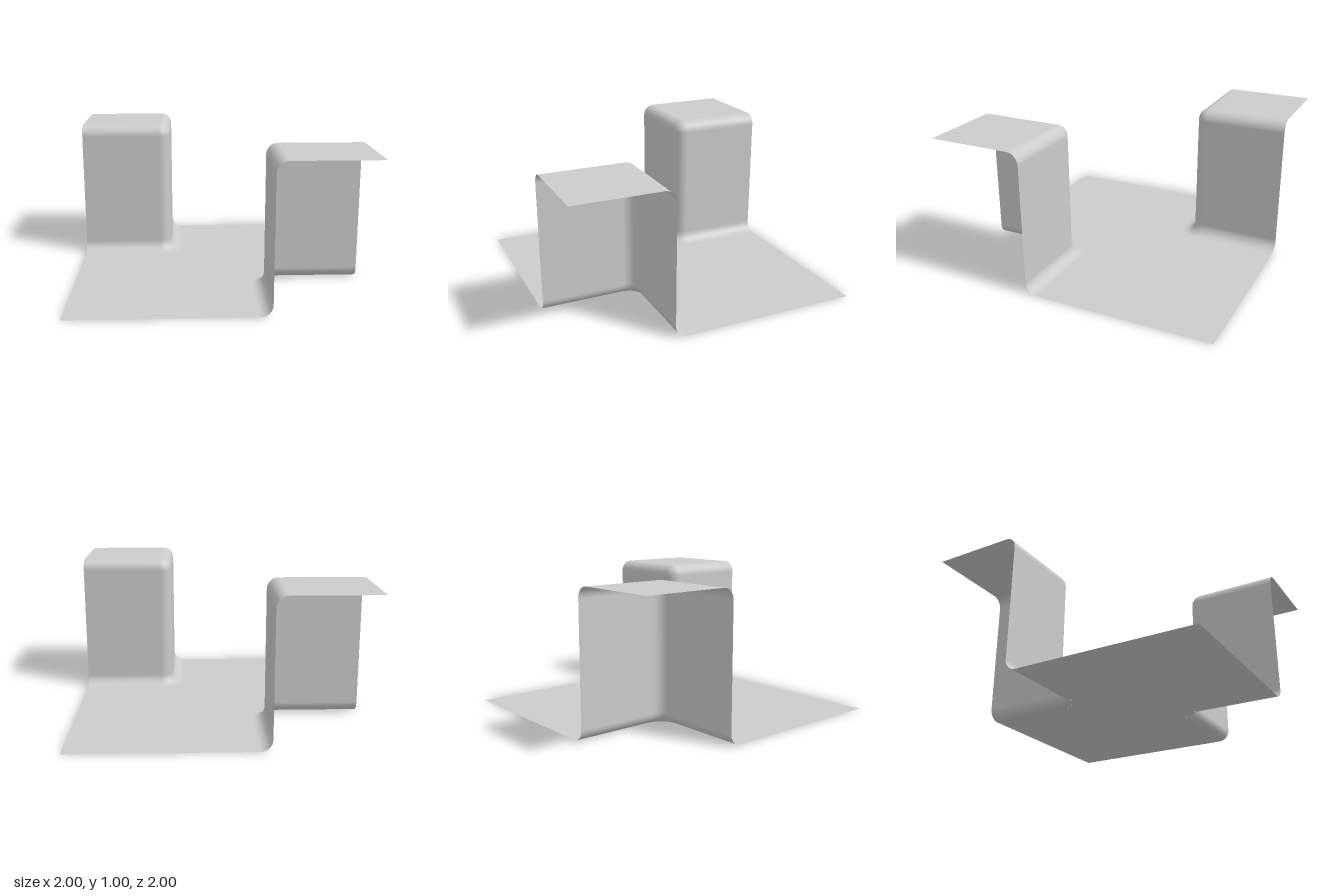
import * as THREE from 'three';

const HALF = 1;            // half width of the tile
const WALL = 1 / 3;        // distance of the walls from the centre lines
const R = 0.08;            // rounding of every edge
const C = WALL + R;        // centre of the rounded vertical corner
const FOOT = WALL - R;     // where the bottom fillet meets the floor
const HEIGHT = 1;
const STEPS = 8;

const material = new THREE.MeshStandardMaterial({ color: 0xcccccc, side: THREE.DoubleSide });

// Wall section from the top edge down to the floor: offset d, height y, normal (nd, ny)
function wallProfile() {
  const points = [];
  for (let i = 0; i <= STEPS; i++) {
    const a = (i / STEPS) * Math.PI / 2;
    points.push({ d: R * Math.sin(a), y: HEIGHT - R + R * Math.cos(a), nd: Math.sin(a), ny: Math.cos(a) });
  }
  for (let i = 0; i <= STEPS; i++) {
    const a = (i / STEPS) * Math.PI / 2;
    points.push({ d: 2 * R - R * Math.cos(a), y: R - R * Math.sin(a), nd: Math.cos(a), ny: Math.sin(a) });
  }
  return points;
}

// Sweep the wall section along one side, around the corner and along the other side
function wallGeometry() {
  const stations = [{ x: -C, z: -HALF, a: 0 }];
  for (let i = 0; i <= STEPS; i++) stations.push({ x: -C, z: -C, a: (i / STEPS) * Math.PI / 2 });
  stations.push({ x: -HALF, z: -C, a: Math.PI / 2 });

  const profile = wallProfile();
  const n = profile.length;
  const position = [], normal = [], index = [];
  stations.forEach((s, i) => {
    const cos = Math.cos(s.a), sin = Math.sin(s.a);
    profile.forEach((p, j) => {
      position.push(s.x + p.d * cos, p.y, s.z + p.d * sin);
      normal.push(p.nd * cos, p.ny, p.nd * sin);
      if (i === stations.length - 1 || j === n - 1) return;
      const a = i * n + j, b = a + n;
      const pole = j === 0 && i > 0 && i < stations.length - 2;
      if (!pole) index.push(a, b, a + 1);
      index.push(b, b + 1, a + 1);
    });
  });
  const geometry = new THREE.BufferGeometry();
  geometry.setAttribute('position', new THREE.Float32BufferAttribute(position, 3));
  geometry.setAttribute('normal', new THREE.Float32BufferAttribute(normal, 3));
  geometry.setIndex(index);
  return geometry;
}

// Flat floor with a rounded notch at two opposite corners
function floorGeometry() {
  const shape = new THREE.Shape();
  shape.moveTo(-HALF, -HALF);
  shape.lineTo(FOOT, -HALF);
  shape.lineTo(FOOT, -C);
  shape.absarc(C, -C, C - FOOT, Math.PI, Math.PI / 2, true);
  shape.lineTo(HALF, -FOOT);
  shape.lineTo(HALF, HALF);
  shape.lineTo(-FOOT, HALF);
  shape.lineTo(-FOOT, C);
  shape.absarc(-C, C, C - FOOT, 0, -Math.PI / 2, true);
  shape.lineTo(-HALF, FOOT);
  shape.closePath();
  return new THREE.ShapeGeometry(shape, STEPS).rotateX(-Math.PI / 2);
}

function addMesh(parent, name, geometry) {
  const mesh = new THREE.Mesh(geometry, material);
  mesh.name = name;
  parent.add(mesh);
}

export function createModel() {
  const model = new THREE.Group();
  model.name = 'terrainTile';
  addMesh(model, 'floor', floorGeometry());

  // Two raised corners, the second turned half way round
  const walls = wallGeometry();
  const size = HALF - C;
  const top = new THREE.PlaneGeometry(size, size).rotateX(-Math.PI / 2)
    .translate(-C - size / 2, HEIGHT, -C - size / 2);
  ['backPlateau', 'frontPlateau'].forEach((name, i) => {
    const plateau = new THREE.Group();
    plateau.name = name;
    plateau.rotation.y = i * Math.PI;
    addMesh(plateau, 'roundedWalls', walls);
    addMesh(plateau, 'plateauTop', top);
    model.add(plateau);
  });
  return model;
}
